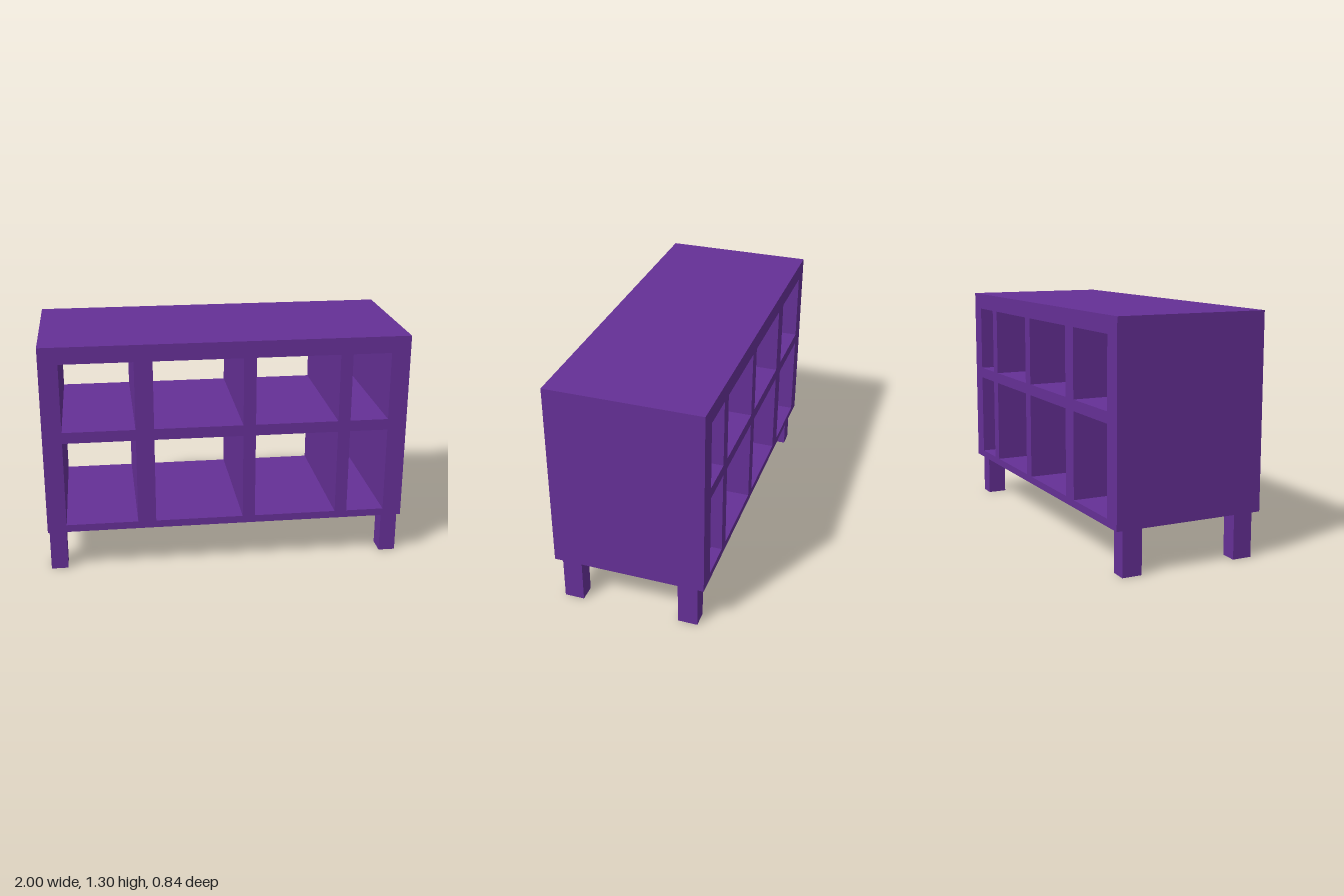
import * as THREE from 'three';

const material = new THREE.MeshStandardMaterial({ color: 0x653096 });
const DEPTH = 0.844;

// Box given by its extents on each axis
function block(name, [x0, x1], [y0, y1], [z0, z1] = [-DEPTH / 2, DEPTH / 2]) {
  const mesh = new THREE.Mesh(new THREE.BoxGeometry(x1 - x0, y1 - y0, z1 - z0), material);
  mesh.name = name;
  mesh.position.set((x0 + x1) / 2, (y0 + y1) / 2, (z0 + z1) / 2);
  return mesh;
}

export function createModel() {
  const model = new THREE.Group();
  model.name = 'openShelfUnit';

  // Outer case, open at front and back
  const inner = [-0.895, 0.895];
  model.add(
    block('topPanel', [-1, 1], [1.21, 1.303]),
    block('rightSide', [-1, inner[0]], [0.245, 1.21]),
    block('leftSide', [inner[1], 1], [0.245, 1.21]),
    block('bottomPanel', inner, [0.245, 0.286]),
    block('middleShelf', inner, [0.768, 0.83])
  );

  // Upright dividers of differing thickness, in both tiers
  for (const span of [[-0.5, -0.4], [0.087, 0.156], [0.615, 0.683]]) {
    model.add(block('lowerDivider', span, [0.286, 0.768]));
    model.add(block('upperDivider', span, [0.83, 1.21]));
  }

  // Four square legs
  for (const x of [[-0.993, -0.9], [0.9, 0.993]]) {
    model.add(block('frontLeg', x, [0, 0.245], [0.269, 0.378]));
    model.add(block('backLeg', x, [0, 0.245], [-0.386, -0.277]));
  }
  return model;
}
